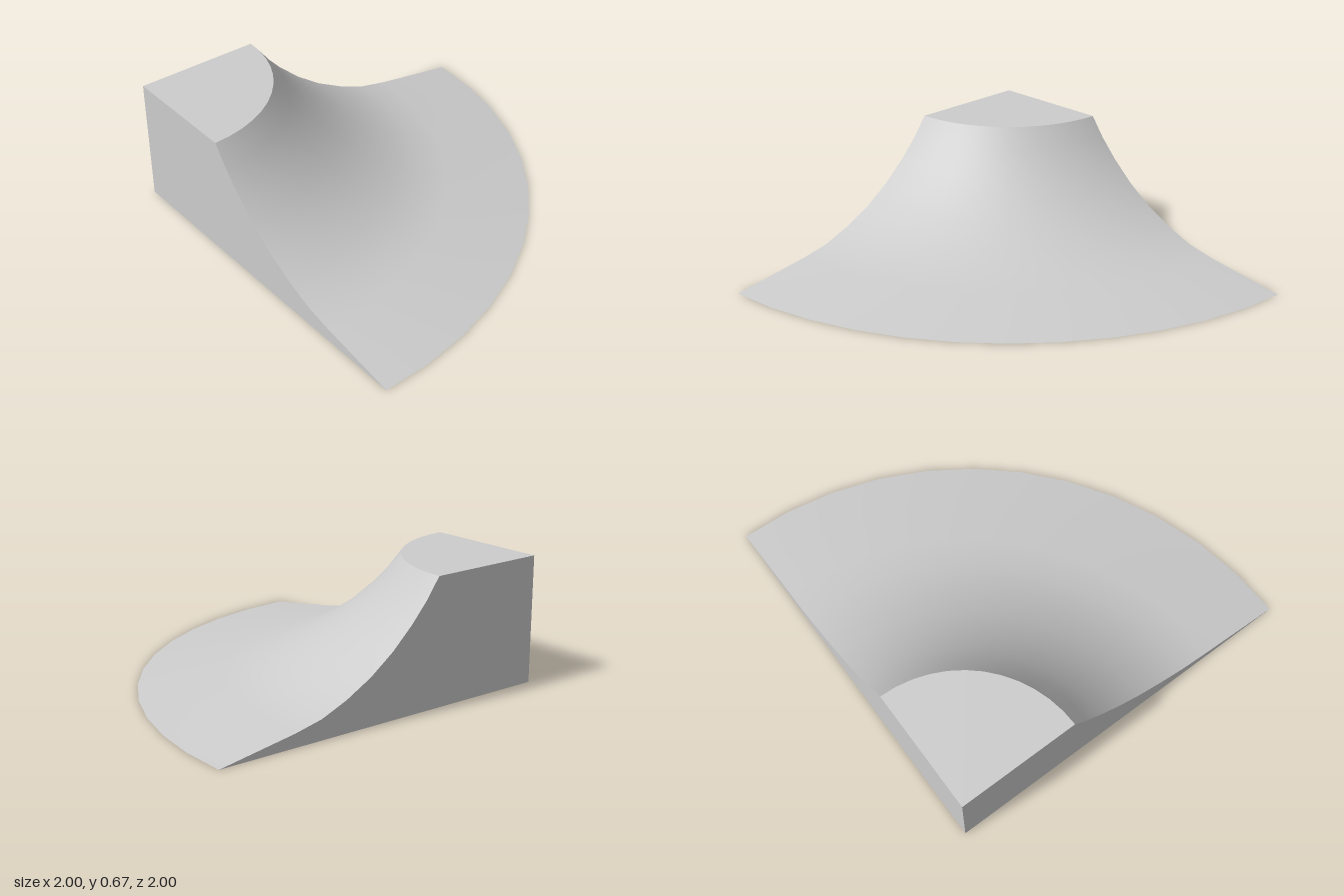
import * as THREE from 'three';

// Flared quarter-round transition, revolved about the corner at (-1, -1)
const PROFILE = [
  [2, 0], [1.56, 0.07], [1.4, 0.105], [1.25, 0.165], [1.1, 0.245],
  [0.96, 0.345], [0.84, 0.455], [0.745, 0.56], [0.667, 0.667],
];
const QUARTER = Math.PI / 2;
const SEGMENTS = 12;

export function createModel() {
  const model = new THREE.Group();
  model.name = 'quarterFlare';
  const grey = new THREE.MeshStandardMaterial({ color: 0xcccccc });
  grey.name = 'light grey';

  const [baseRadius] = PROFILE[0];
  const [topRadius, height] = PROFILE[PROFILE.length - 1];

  const add = (name, geometry, y = 0) => {
    const mesh = new THREE.Mesh(geometry, grey);
    mesh.name = name;
    mesh.position.set(-1, y, -1);
    model.add(mesh);
  };

  // Concave sweeping face
  const points = PROFILE.map(([r, y]) => new THREE.Vector2(r, y));
  add('flaredFace', new THREE.LatheGeometry(points, SEGMENTS, 0, QUARTER));

  // Flat quarter-disc top and underside
  add('topFace', new THREE.CircleGeometry(topRadius, SEGMENTS, -QUARTER, QUARTER).rotateX(-QUARTER), height);
  add('underside', new THREE.CircleGeometry(baseRadius, SEGMENTS, 0, QUARTER).rotateX(QUARTER));

  // Straight cut walls; side mirrors the outline so each wall faces outward
  const wall = (side) => new THREE.ShapeGeometry(new THREE.Shape([
    new THREE.Vector2(0, 0),
    ...PROFILE.map(([r, y]) => new THREE.Vector2(side * r, y)),
    new THREE.Vector2(0, height),
  ]));
  add('sideWall', wall(1).rotateY(-QUARTER));
  add('backWall', wall(-1).rotateY(Math.PI));

  return model;
}
